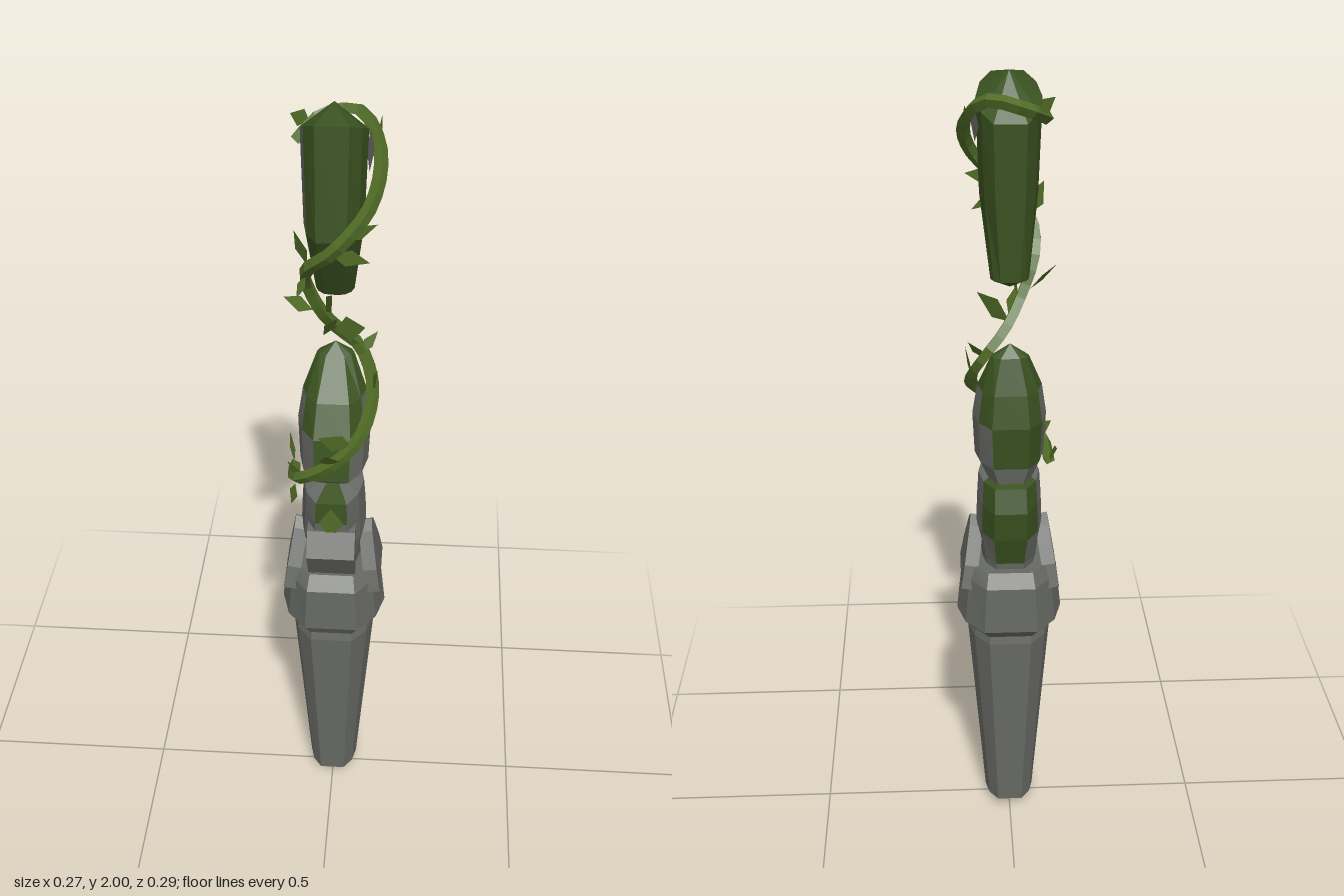
import * as THREE from 'three';

const mat = (name, color, extra = {}) => new THREE.MeshStandardMaterial({ name, color, ...extra });

// Ten-sided cross-section with a flat front and back
const PROFILE = [[1, 0], [0.85, 0.57], [0.5, 1], [-0.5, 1], [-0.85, 0.57],
  [-1, 0], [-0.85, -0.57], [-0.5, -1], [0.5, -1], [0.85, -0.57]];

// Faceted solid from rows of [y, halfWidth, frontZ, backZ, slope]; mossy(row, column) picks the colour
function loft(name, rows, bottomY, topY, mats, mossy = () => false) {
  const n = PROFILE.length;
  const rings = rows.map(([y, w, zf, zb, slope = 0]) => PROFILE.map(([px, pz]) =>
    [px * w, y + slope * pz, (zf + zb) / 2 + pz * (zf - zb) / 2]));
  const tris = [[], []];
  const put = (m, ...pts) => pts.forEach(p => tris[m].push(...p));
  const center = (row, y) => [0, y, (row[2] + row[3]) / 2];
  const last = rows.length - 1;
  const low = center(rows[0], bottomY), high = center(rows[last], topY);
  for (let i = 0; i < n; i++) {
    const j = (i + 1) % n;
    for (let r = 0; r < last; r++) {
      const a = rings[r][i], b = rings[r][j], c = rings[r + 1][j], d = rings[r + 1][i];
      put(mossy(r, i) ? 1 : 0, a, d, c, a, c, b);
    }
    put(mossy(-1, i) ? 1 : 0, low, rings[0][i], rings[0][j]);
    put(mossy(last, i) ? 1 : 0, high, rings[last][j], rings[last][i]);
  }
  const geo = new THREE.BufferGeometry();
  geo.setAttribute('position', new THREE.Float32BufferAttribute(tris[0].concat(tris[1]), 3));
  geo.addGroup(0, tris[0].length / 3, 0);
  geo.addGroup(tris[0].length / 3, tris[1].length / 3, 1);
  geo.computeVertexNormals();
  const mesh = new THREE.Mesh(geo, mats);
  mesh.name = name;
  return mesh;
}

// Side silhouette given as [z, y] points, extruded across x from 0 to -depth
function sidePlate(points, depth) {
  const shape = new THREE.Shape(points.map(p => new THREE.Vector2(...p)));
  return new THREE.ExtrudeGeometry(shape, { depth, bevelEnabled: false }).rotateY(-Math.PI / 2);
}

// Flat diamond leaf from base to tip, facing away from the central axis
function leaf(base, tip, width, material, name = 'leaf') {
  const a = new THREE.Vector3(...base), t = new THREE.Vector3(...tip);
  const dir = t.clone().sub(a);
  const mid = a.clone().addScaledVector(dir, 0.45);
  const side = dir.clone().cross(new THREE.Vector3(mid.x, 0, mid.z)).setLength(width / 2);
  const l = mid.clone().sub(side), r = mid.clone().add(side);
  const geo = new THREE.BufferGeometry().setFromPoints([a, r, t, a, t, l]);
  geo.computeVertexNormals();
  const mesh = new THREE.Mesh(geo, material);
  mesh.name = name;
  return mesh;
}

export function createModel() {
  const group = new THREE.Group();
  const stone = mat('stone', 0x686a65);
  const moss = mat('moss', 0x3a5220);
  const vineGreen = mat('vine green', 0x506c26, { side: THREE.DoubleSide });
  const mats = [stone, moss];
  const add = (geo, material, name) => {
    const mesh = new THREE.Mesh(geo, material);
    mesh.name = name;
    group.add(mesh);
  };

  // Tapered shaft and collar
  group.add(loft('shaft', [
    [0.012, 0.035, 0.03, -0.045], [0.03, 0.064, 0.062, -0.08],
    [0.56, 0.107, 0.102, -0.117], [0.6, 0.1, 0.095, -0.11]], 0, 0.6, mats));
  group.add(loft('collar', [
    [0.585, 0.108, 0.1, -0.12], [0.615, 0.135, 0.118, -0.147],
    [0.74, 0.122, 0.118, -0.145], [0.775, 0.112, 0.09, -0.122]], 0.59, 0.765, mats));

  // Pointed tongues rising from both sides of the collar
  for (const s of [1, -1]) {
    const geo = sidePlate([[-0.09, 0], [-0.075, 0.06], [-0.028, 0.15], [0, 0.17],
      [0.028, 0.15], [0.075, 0.06], [0.09, 0]], 0.035)
      .rotateZ(0.16).translate(0.124, 0.72, 0);
    if (s < 0) geo.rotateY(Math.PI);
    add(geo.translate(0, 0, -0.01), stone, 'collarTongue');
  }

  // Lower block with a leaning chip on its front
  group.add(loft('lowerBlock', [
    [0.72, 0.065, 0.06, -0.09], [0.79, 0.07, 0.065, -0.1], [0.87, 0.083, 0.09, -0.125],
    [0.95, 0.08, 0.1, -0.138], [1.01, 0.076, 0.097, -0.12]], 0.72, 1.04, mats,
    (r, i) => (r > 0 && (i === 7 || i === 6 && r > 1 || i === 8 && r > 1)) || (i === 2 && r >= 3)));
  add(sidePlate([[0.03, 0.82], [0.075, 0.765], [0.135, 0.865], [0.1, 0.925], [0.04, 0.93]], 0.12)
    .translate(0.06, 0, 0), stone, 'frontChip');
  group.add(leaf([0, 1.0, 0.103], [0, 0.9, 0.1], 0.06, vineGreen, 'mossTip'));

  // Middle rock, mossy down the front and back
  group.add(loft('middleRock', [
    [1.025, 0.06, 0.03, -0.12], [1.07, 0.085, 0.085, -0.13], [1.18, 0.09, 0.07, -0.14],
    [1.26, 0.078, 0.03, -0.125], [1.345, 0.045, -0.05, -0.1]], 1.0, 1.375, mats,
    (r, i) => r > 0 && (i === 2 || i === 7 || i === 6 || r > 2 || r === 2 && [1, 3, 8].includes(i))));

  // Floating top block, almost fully overgrown
  group.add(loft('topBlock', [
    [1.53, 0.045, -0.025, -0.09], [1.72, 0.068, 0.088, -0.102],
    [1.94, 0.075, 0.065, -0.11, 0.04]], 1.51, 2.0, mats,
    (r, i) => !(r === 1 && i === 4)));
  group.add(leaf([0.079, 1.93, -0.045], [0.077, 1.84, -0.02], 0.05, 
    mat('bare stone', 0x686a65, { side: THREE.DoubleSide }), 'barePatch'));

  // Vine winding down from the top
  const path = new THREE.CatmullRomCurve3([
    [-0.085, 1.9, -0.05], [-0.04, 1.93, -0.11], [0.05, 1.95, -0.1], [0.1, 1.89, -0.03],
    [0.085, 1.8, 0.06], [0.01, 1.71, 0.1], [-0.055, 1.64, 0.06], [-0.062, 1.57, 0],
    [-0.03, 1.48, -0.03], [0.01, 1.41, -0.07], [0.06, 1.35, -0.09], [0.093, 1.27, -0.03],
    [0.065, 1.19, 0.07], [0, 1.13, 0.1], [-0.085, 1.07, 0.075], [-0.1, 1.04, -0.02],
  ].map(p => new THREE.Vector3(...p)));
  const tube = new THREE.TubeGeometry(path, 44, 0.016, 4).toNonIndexed();
  tube.computeVertexNormals();
  add(tube, vineGreen, 'vine');

  // Leaves along the vine: base, tip, width
  [
    [[-0.05, 1.49, -0.02], [-0.115, 1.54, 0.01], 0.04],
    [[0.0, 1.42, -0.05], [0.075, 1.47, 0.02], 0.06],
    [[-0.02, 1.48, -0.03], [0, 1.57, 0.05], 0.04],
    [[0, 1.42, -0.06], [-0.02, 1.48, 0.035], 0.05],
    [[0.06, 1.34, -0.08], [0.1, 1.39, -0.1], 0.03],
    [[0.09, 1.27, -0.03], [0.105, 1.34, 0.0], 0.035],
    [[0.05, 1.17, 0.08], [-0.03, 1.22, 0.115], 0.05],
    [[0, 1.13, 0.1], [-0.01, 1.19, 0.147], 0.05],
    [[-0.07, 1.07, 0.08], [-0.11, 1.11, 0.06], 0.035],
    [[-0.09, 1.05, 0.07], [-0.1, 0.99, 0.075], 0.035],
    [[-0.1, 1.05, -0.02], [-0.115, 1.1, -0.08], 0.04],
    [[0.03, 1.73, 0.09], [0.1, 1.75, 0.05], 0.035],
    [[0, 1.7, 0.1], [0.085, 1.66, 0.06], 0.04],
    [[-0.055, 1.65, 0.06], [-0.085, 1.73, 0.05], 0.05],
    [[-0.06, 1.62, 0.05], [-0.08, 1.57, 0.07], 0.03],
    [[0.09, 1.87, -0.02], [0.1, 1.94, -0.1], 0.04],
    [[-0.06, 1.92, -0.1], [-0.1, 1.95, -0.07], 0.04],
  ].forEach(([base, tip, width]) => group.add(leaf(base, tip, width, vineGreen)));

  return group;
}
